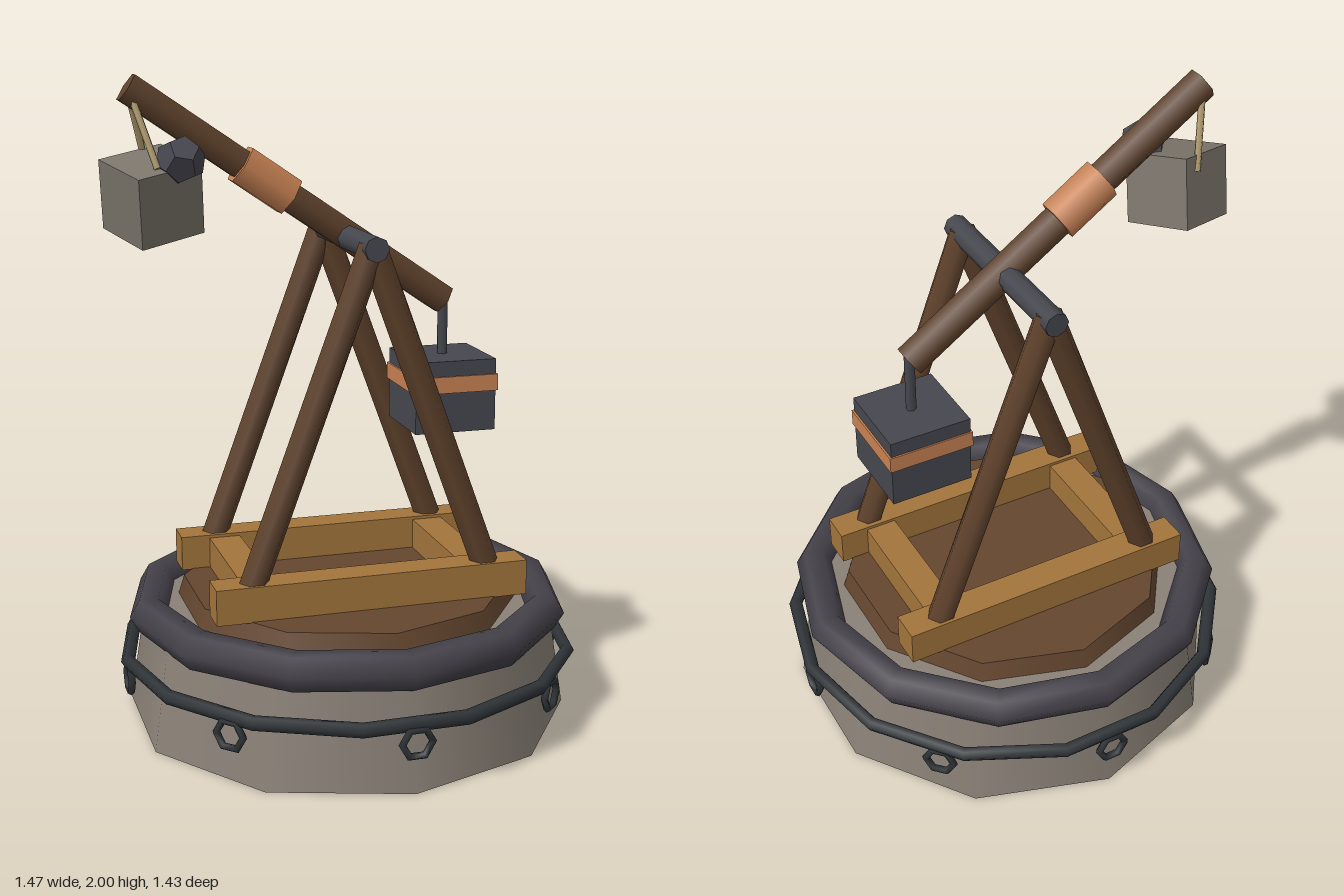
import * as THREE from 'three';

const mat = (color, flatShading = false) => new THREE.MeshStandardMaterial({ color, flatShading });
const stone = mat(0x8a8177), boulder = mat(0x7d766c, true), iron = mat(0x45424a), darkIron = mat(0x2f3438);
const steel = mat(0x46484f), bark = mat(0x5f422c), deckWood = mat(0x64462f), timber = mat(0xa3753c);
const copper = mat(0xc98253), rope = mat(0xb09c70), rock = mat(0x45464f, true);

const UP = new THREE.Vector3(0, 1, 0);

export function createModel() {
  const root = new THREE.Group();
  root.name = 'siegeEngine';
  const model = new THREE.Group();
  model.name = 'body';
  model.position.x = 0.006;
  root.add(model);

  const add = (name, geometry, material, x = 0, y = 0, z = 0) => {
    const mesh = new THREE.Mesh(geometry, material);
    mesh.name = name;
    mesh.position.set(x, y, z);
    model.add(mesh);
    return mesh;
  };
  const box = (name, material, w, h, d, x, y, z) =>
    add(name, new THREE.BoxGeometry(w, h, d), material, x, y, z);
  // Straight pole between two points; turn spins the polygon about its axis
  const pole = (name, material, a, b, radius, sides = 6, turn = 0) => {
    const from = new THREE.Vector3(...a), to = new THREE.Vector3(...b);
    const dir = to.clone().sub(from);
    const geometry = new THREE.CylinderGeometry(radius, radius, dir.length(), sides);
    geometry.rotateY(turn);
    const mesh = add(name, geometry, material);
    mesh.position.copy(from).add(to).multiplyScalar(0.5);
    mesh.quaternion.setFromUnitVectors(UP, dir.normalize());
    return mesh;
  };
  const hoop = (name, material, radius, tube, sides, segments, y) =>
    add(name, new THREE.TorusGeometry(radius, tube, sides, segments).rotateX(Math.PI / 2), material, 0, y, 0);

  // Stone base with its iron rims and deck
  add('stoneBase', new THREE.CylinderGeometry(0.645, 0.7, 0.36, 10), stone, 0, 0.18, 0);
  hoop('topRim', iron, 0.638, 0.06, 6, 12, 0.355);
  hoop('lowerBand', darkIron, 0.708, 0.022, 6, 14, 0.213);
  add('deck', new THREE.CylinderGeometry(0.52, 0.54, 0.065, 10), deckWood, 0, 0.388, 0);

  // Tie rings hanging around the base
  for (let i = 0; i < 8; i++) {
    const angle = (i * Math.PI) / 4;
    const ring = add('tieRing', new THREE.TorusGeometry(0.046, 0.012, 5, 6), darkIron,
      Math.sin(angle) * 0.705, 0.16, Math.cos(angle) * 0.705);
    ring.rotation.y = angle;
  }

  // Timber frame and A-shaped legs on both sides
  for (const s of [-1, 1]) {
    box('sideBeam', timber, 0.98, 0.11, 0.1, 0, 0.473, s * 0.262);
    box('crossBeam', timber, 0.1, 0.1, 0.43, s * 0.348, 0.468, 0);
    for (const e of [-1, 1]) {
      pole('leg', bark, [e * 0.375, 0.5, s * 0.264], [0, 1.515, s * 0.264], 0.043, 6, Math.PI / 6);
    }
  }
  pole('axle', steel, [0, 1.512, -0.312], [0, 1.512, 0.312], 0.038, 8);

  // Throwing arm with copper sleeve
  const high = [-0.661, 1.967, 0], low = [0.316, 1.303, 0];
  const along = (t) => high.map((v, i) => v + (low[i] - v) * t);
  pole('throwingArm', bark, high, low, 0.05);
  pole('armSleeve', copper, along(0.342), along(0.494), 0.066);

  // Counterweight
  pole('hangerRod', steel, [0.316, 1.1, 0], [0.316, 1.32, 0], 0.016);
  box('counterweight', steel, 0.262, 0.226, 0.262, 0.316, 1.018, 0);
  box('counterweightBand', copper, 0.274, 0.052, 0.272, 0.316, 1.057, 0);

  // Slung load: stone block, ropes and a small rock
  const block = box('stoneBlock', boulder, 0.215, 0.215, 0.215, -0.594, 1.652, 0);
  block.rotation.set(0.23, 0.4, 0.08);
  for (const s of [-1, 1]) {
    pole('slingRope', rope, [-0.648, 1.94, s * 0.02], [-0.592, 1.74, s * 0.1], 0.011, 5);
  }
  const pebble = add('smallRock', new THREE.DodecahedronGeometry(0.073), rock, -0.523, 1.763, 0.09);
  pebble.rotation.set(0.3, 0.4, 0.2);

  return root;
}
